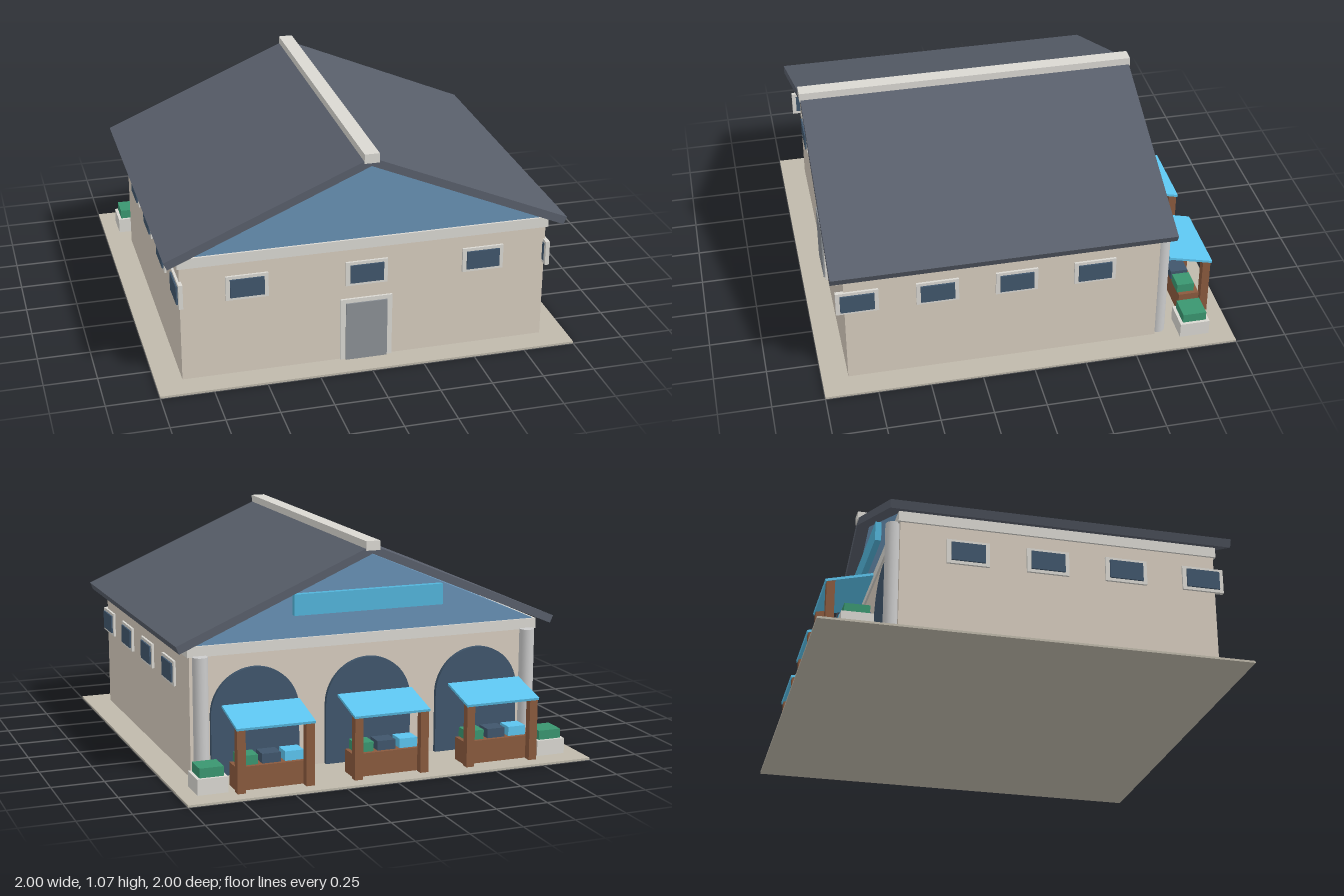
import * as THREE from 'three';

const mat = (color) => new THREE.MeshStandardMaterial({ color });
const M = {
  paving: mat(0xbfb9ab), wall: mat(0xd6ccbe), trim: mat(0xdad8d2), column: mat(0xcccccc),
  roof: mat(0x585e6a), gable: mat(0x6790b3), glass: mat(0x40566c), door: mat(0x8b9095),
  awning: mat(0x5cc4ee), sign: mat(0x52b4da), wood: mat(0x8a5a3e), green: mat(0x3a9670),
};

function add(parent, name, geometry, material, x = 0, y = 0, z = 0) {
  const mesh = new THREE.Mesh(geometry, material);
  mesh.name = name;
  mesh.position.set(x, y, z);
  parent.add(mesh);
  return mesh;
}

// Box given by its base height rather than its middle
const box = (parent, name, material, w, h, d, x, y, z) =>
  add(parent, name, new THREE.BoxGeometry(w, h, d), material, x, y + h / 2, z);

function group(parent, name, x = 0, y = 0, z = 0) {
  const g = new THREE.Group();
  g.name = name;
  g.position.set(x, y, z);
  parent.add(g);
  return g;
}

// Outline in x and y, extruded from z0 to z1
function prism(parent, name, material, points, z0, z1) {
  const shape = new THREE.Shape(points.map(([x, y]) => new THREE.Vector2(x, y)));
  const geometry = new THREE.ExtrudeGeometry(shape, { depth: z1 - z0, bevelEnabled: false });
  return add(parent, name, geometry, material, 0, 0, z0);
}

// Framed window facing +z, then turned to its wall
function addWindow(parent, x, z, turn) {
  const w = group(parent, 'window', x, 0.455, z);
  w.rotation.y = turn;
  box(w, 'windowFrame', M.trim, 0.2, 0.12, 0.02, 0, -0.06, 0);
  box(w, 'windowGlass', M.glass, 0.16, 0.09, 0.03, 0, -0.045, 0.003);
}

// Market stall: two posts, sloping awning, counter and crates
function addStall(parent, x) {
  const s = group(parent, 'marketStall', x);
  for (const side of [-1, 1]) box(s, 'stallPost', M.wood, 0.04, 0.305, 0.038, side * 0.164, 0.01, -0.911);
  const awning = box(s, 'awning', M.awning, 0.375, 0.012, 0.222, 0, 0.33, -0.828);
  awning.rotation.x = -0.246;
  box(s, 'counter', M.wood, 0.35, 0.11, 0.1, 0, 0.01, -0.835);
  [M.green, M.glass, M.awning].forEach((m, i) =>
    box(s, 'crate', m, 0.09, 0.045, 0.085, 0.11 - i * 0.11, 0.12, -0.823));
}

function addArch(parent, x) {
  const shape = new THREE.Shape();
  shape.moveTo(-0.215, 0.01);
  shape.lineTo(0.215, 0.01);
  shape.lineTo(0.215, 0.3);
  shape.absarc(0, 0.3, 0.215, 0, Math.PI, false);
  const geometry = new THREE.ExtrudeGeometry(shape, { depth: 0.04, bevelEnabled: false, curveSegments: 16 });
  add(parent, 'archway', geometry, M.glass, x, 0, -0.645);
}

export function createModel() {
  const model = new THREE.Group();
  model.name = 'marketHall';

  // Base and walls
  box(model, 'paving', M.paving, 2, 0.01, 2, 0, 0, 0);
  box(model, 'walls', M.wall, 1.75, 0.57, 1.5, 0, 0.01, 0.125);
  box(model, 'cornice', M.trim, 1.77, 0.05, 1.52, 0, 0.58, 0.125);

  // Gables and roof
  prism(model, 'gable', M.gable, [[-0.875, 0.63], [0.875, 0.63], [0, 1.01]], -0.625, 0.875);
  prism(model, 'roofRight', M.roof, [[0, 1.012], [0.937, 0.612], [0.953, 0.648], [0, 1.052]], -0.685, 0.94);
  prism(model, 'roofLeft', M.roof, [[0, 1.012], [0, 1.052], [-0.953, 0.648], [-0.937, 0.612]], -0.685, 0.94);
  box(model, 'ridgeCap', M.trim, 0.07, 0.045, 1.635, 0, 1.028, 0.1275);
  box(model, 'signBoard', M.sign, 0.75, 0.1, 0.04, 0, 0.74, -0.635);

  // Front door
  box(model, 'doorFrame', M.trim, 0.25, 0.315, 0.02, 0, 0.01, 0.876);
  box(model, 'door', M.door, 0.2, 0.295, 0.03, 0, 0.01, 0.878);

  // Bays across the front and back
  for (const x of [-0.565, 0, 0.565]) {
    addWindow(model, x, 0.876, 0);
    addArch(model, x);
    addStall(model, x);
  }

  // Side windows, corner columns and planters
  for (const side of [-1, 1]) {
    for (let i = 0; i < 4; i++) addWindow(model, side * 0.876, 0.815 - i * 0.375, side * Math.PI / 2);
    add(model, 'column', new THREE.CylinderGeometry(0.036, 0.036, 0.575, 16), M.column, side * 0.83, 0.2975, -0.65);
    box(model, 'planter', M.trim, 0.145, 0.075, 0.145, side * 0.85, 0.01, -0.813);
    box(model, 'planterHedge', M.green, 0.115, 0.05, 0.115, side * 0.85, 0.08, -0.813);
  }
  return model;
}
